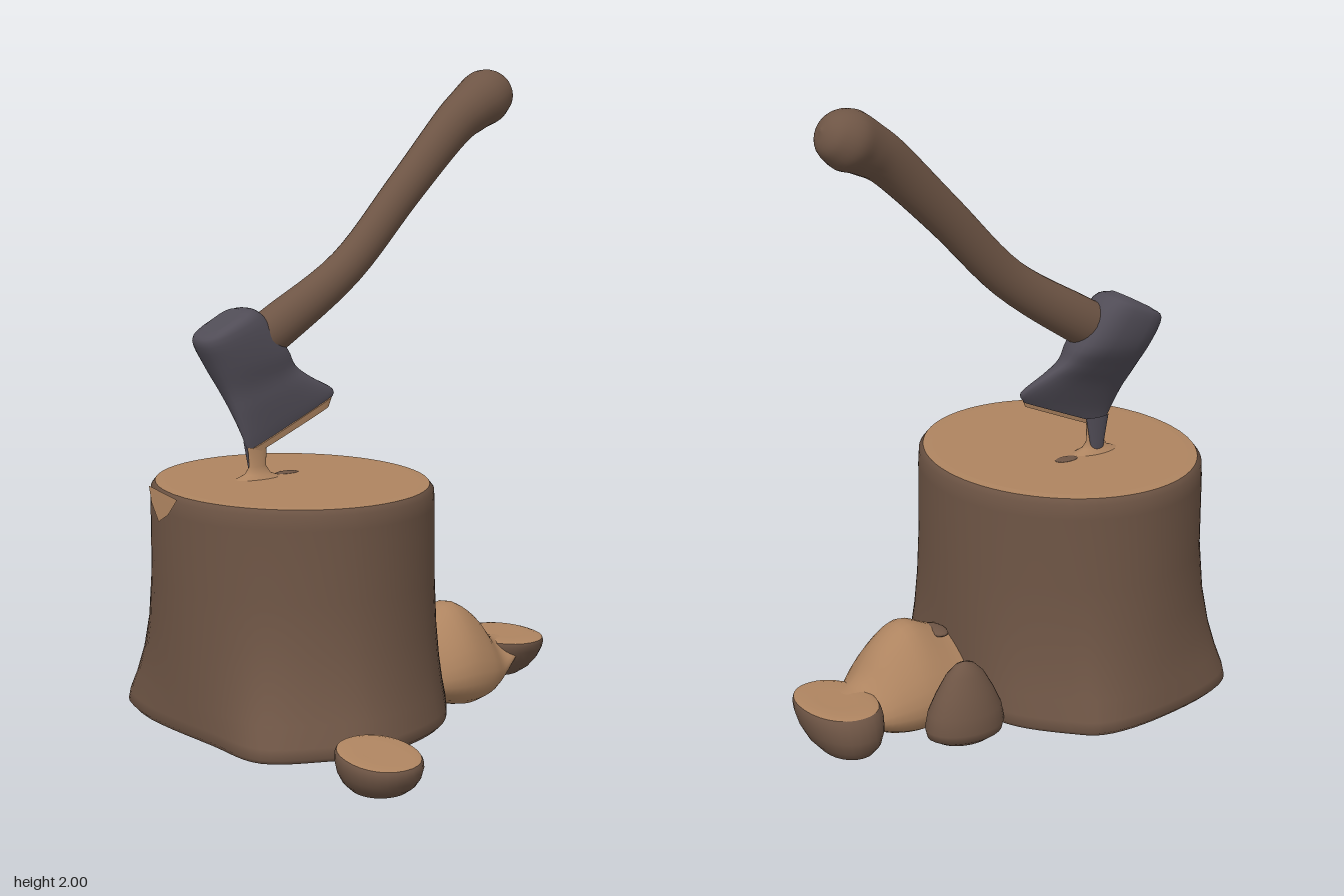
import * as THREE from 'three';

const mat = (name, color) => {
  const m = new THREE.MeshStandardMaterial({ color });
  m.name = name;
  return m;
};
const V = (x, y, z) => new THREE.Vector3(x, y, z);

// Skin through rings of points that turn right-handed about the direction of travel
function loft(rings, capStart = false, capEnd = false) {
  const n = rings[0].length, pos = [], idx = [];
  rings.forEach(r => r.forEach(p => pos.push(p.x, p.y, p.z)));
  for (let i = 0; i < rings.length - 1; i++) {
    for (let j = 0; j < n; j++) {
      const a = i * n + j, b = i * n + (j + 1) % n;
      idx.push(a, b, a + n, b, b + n, a + n);
    }
  }
  const cap = (ring, flip) => {
    const s = pos.length / 3, c = V(0, 0, 0);
    ring.forEach(p => { pos.push(p.x, p.y, p.z); c.addScaledVector(p, 1 / n); });
    pos.push(c.x, c.y, c.z);
    for (let j = 0; j < n; j++) {
      const a = s + j, b = s + (j + 1) % n;
      idx.push(s + n, flip ? b : a, flip ? a : b);
    }
  };
  if (capStart) cap(rings[0], true);
  if (capEnd) cap(rings[rings.length - 1], false);
  const g = new THREE.BufferGeometry();
  g.setAttribute('position', new THREE.Float32BufferAttribute(pos, 3));
  g.setIndex(idx);
  g.computeVertexNormals();
  return g;
}

// One ring: f(cos, sin) returns a point
const ring = (f, n = 28) => Array.from({ length: n }, (_, j) => {
  const t = j / n * Math.PI * 2;
  return f(Math.cos(t), Math.sin(t));
});
const soft = (v, p) => Math.sign(v) * Math.abs(v) ** p;

// Control rows refined by a spline through every column
function refine(rows, steps) {
  const k = rows[0].length;
  const curves = [];
  for (let c = 0; c < k; c += 3) {
    curves.push(new THREE.CatmullRomCurve3(rows.map(r => V(r[c], r[c + 1] ?? 0, r[c + 2] ?? 0)), false, 'catmullrom'));
  }
  return Array.from({ length: steps + 1 }, (_, i) =>
    curves.flatMap(q => q.getPoint(i / steps).toArray()));
}

export function createModel() {
  const model = new THREE.Group();
  const bark = mat('bark brown', 0x6e5545);
  const wood = mat('cut wood', 0xae8460);
  const steel = mat('dark steel', 0x504c56);
  const under = mat('underside brown', 0x806245);
  const add = (name, geo, material, parent = model) => {
    const m = new THREE.Mesh(geo, material);
    m.name = name;
    parent.add(m);
    return m;
  };

  // Stump: flared root outline blending into a round trunk
  const cx = -0.27, cz = -0.178;
  const root = new THREE.CatmullRomCurve3([
    [0.15, -0.2], [0.13, -0.45], [0.01, -0.62], [-0.07, -0.685], [-0.3, -0.69], [-0.6, -0.6], [-0.685, -0.42],
    [-0.69, 0], [-0.67, 0.24], [-0.5, 0.34], [-0.34, 0.38], [-0.05, 0.28], [0.1, 0.12], [0.15, 0.03],
  ].map(([x, z]) => V(x, 0, z)), true).getPoints(84).slice(0, -1);
  const level = (y, flare, scale) => root.map(p => {
    const dx = p.x - cx, dz = p.z - cz, d = Math.hypot(dx, dz);
    const r = 1 / Math.hypot(dx / d / 0.42, dz / d / 0.465);
    const k = THREE.MathUtils.lerp(r / d, 1, flare) * scale;
    return V(cx + dx * k, y, cz + dz * k);
  });
  const stump = new THREE.Group();
  stump.name = 'stump';
  model.add(stump);
  add('stumpBark', loft([
    [0.055, 1, 0.97], [0.07, 1, 1], [0.1, 0.93, 1], [0.16, 0.66, 1], [0.24, 0.38, 1], [0.35, 0.14, 1],
    [0.5, 0, 1], [0.72, 0, 1], [0.765, 0, 0.995], [0.782, 0, 0.965],
  ].map(a => level(...a))), bark, stump);
  add('stumpTop', loft([level(0.782, 0, 0.965), level(0.784, 0, 0.9)], false, true), wood, stump);
  add('stumpUnderside', loft([level(0.055, 1, 0.97), level(0.056, 1, 0.96)], true), under, stump);

  // Bare wood where bark broke off the rim
  const bare = new THREE.ShapeGeometry(new THREE.Shape([
    [-0.38, 0.778], [-0.34, 0.735], [-0.27, 0.69], [-0.2, 0.725], [-0.15, 0.778],
  ].map(([z, y]) => new THREE.Vector2(z, y))));
  const bp = bare.attributes.position;
  for (let i = 0; i < bp.count; i++) {
    const z = bp.getX(i);
    bp.setXYZ(i, cx - 0.43 * Math.sqrt(1 - ((z - cz) / 0.465) ** 2), bp.getY(i), z);
  }
  bare.computeVertexNormals();
  add('bareRim', bare, wood, stump);

  // Small dark flecks lying on the wood
  const fleck = (name, x, y, z, rx, ry, rz) => {
    const m = add(name, new THREE.SphereGeometry(1, 16, 8), bark);
    m.position.set(x, y, z);
    m.scale.set(rx, ry, rz);
  };
  fleck('topKnot', -0.22, 0.784, -0.28, 0.04, 0.004, 0.022);
  fleck('logBark', 0.185, 0.278, -0.16, 0.033, 0.012, 0.055);

  // Axe
  const axe = new THREE.Group();
  axe.name = 'axe';
  model.add(axe);

  // Handle rows: x, y, z, radius
  const path = refine([
    [-0.31, 1.195, -0.315, 0.07], [-0.22, 1.245, -0.312, 0.071], [0.02, 1.405, -0.3, 0.061],
    [0.24, 1.625, -0.305, 0.062], [0.44, 1.815, -0.32, 0.07], [0.53, 1.877, -0.328, 0.08],
    [0.593, 1.91, -0.335, 0.088], [0.642, 1.932, -0.335, 0.07], [0.667, 1.944, -0.335, 0.041],
    [0.678, 1.949, -0.335, 0.003],
  ], 54);
  add('handle', loft(path.map((p, i) => {
    const a = path[Math.max(i - 1, 0)], b = path[Math.min(i + 1, path.length - 1)];
    const t = V(b[0] - a[0], b[1] - a[1], 0).normalize();
    const r = p[3], rz = r * THREE.MathUtils.clamp(0.86 + (p[0] - 0.4) * 0.7, 0.86, 0.98);
    return ring((c, s) => V(p[0] - t.y * c * r, p[1] + t.x * c * r, p[2] + s * rz), 24);
  }), true, true), bark, axe);

  // Head rows: back corner x, y, z centre, front corner x, y, half thickness
  const slice = ([ax, ay, z, bx, by, h]) => ring((c, s) => {
    const u = (1 + soft(c, 0.75)) / 2;
    return V(ax + (bx - ax) * u, ay + (by - ay) * u, z + soft(s, 0.75) * h);
  });
  const tip = [-0.385, 0.91, -0.275, -0.05, 1.03, 0.019];
  const edge = [-0.368, 0.865, -0.27, -0.065, 0.995, 0.009];
  add('axeHead', loft(refine([
    [-0.475, 1.24, -0.33, -0.365, 1.302, 0.05], [-0.508, 1.208, -0.33, -0.3, 1.29, 0.082],
    [-0.477, 1.135, -0.325, -0.205, 1.175, 0.08], [-0.435, 1.05, -0.31, -0.175, 1.115, 0.056],
    [-0.408, 0.98, -0.29, -0.125, 1.075, 0.037], tip, edge,
  ], 24).map(slice), true, true), steel, axe);

  // Wood caught along the front of the cutting edge
  add('edgeWood', loft([
    [-0.36, 0.875, -0.262, -0.062, 1.008, 0.009], [-0.352, 0.858, -0.262, -0.075, 0.978, 0.007],
  ].map(slice), true, true), wood, axe);

  // Blade point sunk into the stump, with splintered wood in front of it
  const stem = (name, rows, z0, material) => add(name, loft(rows.map(([y, rx, rz]) =>
    ring((c, s) => V(-0.338 + c * rx, y, z0 - s * rz)))), material, axe);
  stem('bladePoint', [[0.783, 0.022, 0.012], [0.82, 0.026, 0.014], [0.9, 0.042, 0.014]], -0.278, steel);
  stem('splinter', [[0.782, 0.085, 0.04], [0.797, 0.045, 0.024], [0.82, 0.03, 0.013], [0.88, 0.034, 0.008]], -0.266, wood);

  // Split log leaning on the stump; rows: x, bottom, z centre, top, half width
  add('splitLog', loft(refine([
    [0.09, 0.06, -0.12, 0.265, 0.155], [0.17, 0.03, -0.13, 0.28, 0.17], [0.29, 0, -0.14, 0.327, 0.168],
    [0.39, 0.012, -0.15, 0.272, 0.145], [0.47, 0.05, -0.165, 0.185, 0.11], [0.55, 0.12, -0.18, 0.166, 0.09],
  ], 20).map(([x, lo, z, hi, w]) => ring((c, s) =>
    V(x, (lo + hi) / 2 + c * (hi - lo) / 2, z + soft(s, 0.8) * w * (1 - 0.42 * c)))), true, true), wood);

  // Half-round chips: bark bowl with a cut face; tilt lifts the back, shift moves the base in z
  const chip = (name, x, z, rx, rz, top, low, tilt, shift) => {
    const g = new THREE.Group();
    g.name = name;
    model.add(g);
    const at = ([k, h]) => ring((c, s) => V(
      x + soft(c, 0.93) * rx * k,
      low + (top - low) * h + s * rz * k * tilt * h,
      z - soft(s, 0.93) * rz * k + shift * (1 - h)));
    add(name + 'Bark', loft([[0.05, 0], [0.38, 0.015], [0.62, 0.1], [0.82, 0.28], [0.95, 0.52], [1, 0.75], [0.99, 0.9], [0.95, 0.97]]
      .map(at), true), bark, g);
    add(name + 'Face', loft([[0.95, 0.97], [0.8, 1.01], [0.4, 1]].map(at), false, true), wood, g);
  };
  chip('frontChip', -0.478, 0.565, 0.123, 0.13, 0.142, 0.02, 0.17, 0);
  chip('sideChip', 0.572, -0.2, 0.118, 0.16, 0.168, 0.02, 0, -0.06);

  // Upright wedge behind the split log
  add('backWedge', loft([
    [0.02, 0.038], [0.7, 0.042], [0.95, 0.06], [1, 0.085], [0.93, 0.135], [0.73, 0.19], [0.48, 0.245], [0.24, 0.275], [0.01, 0.285],
  ].map(([k, y]) => ring((c, s) => V(0.25 + c * 0.13 * k, y, -0.41 - s * 0.092 * k))), true, true), bark);

  return model;
}
